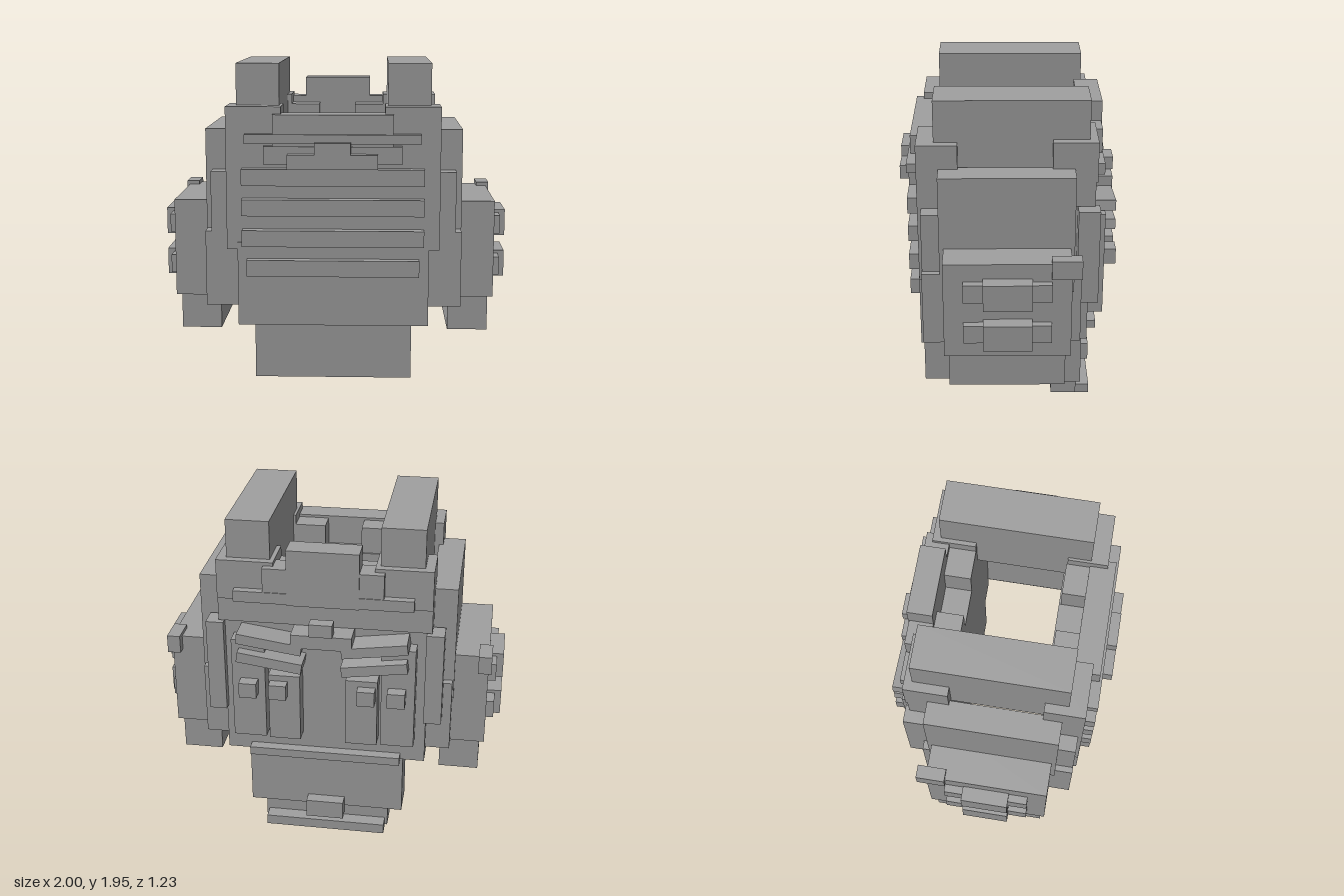
import * as THREE from 'three';

export function createModel() {
  const model = new THREE.Group();
  model.name = 'armourVest';
  const grey = new THREE.MeshStandardMaterial({ color: 0xa0a0a0 });
  grey.name = 'grey';

  // box from its limits on each axis
  function box(name, x0, x1, y0, y1, z0, z1) {
    const mesh = new THREE.Mesh(new THREE.BoxGeometry(x1 - x0, y1 - y0, z1 - z0), grey);
    mesh.position.set((x0 + x1) / 2, (y0 + y1) / 2, (z0 + z1) / 2);
    mesh.name = name;
    model.add(mesh);
    return mesh;
  }
  // box centred on x = 0
  const mid = (name, w, ...r) => box(name, -w, w, ...r);
  // mirrored left and right boxes
  function pair(name, x0, x1, ...r) {
    return [box(name + 'Left', x0, x1, ...r), box(name + 'Right', -x1, -x0, ...r)];
  }

  // front plates
  mid('chestPlate', 0.6, 0.91, 1.5, 0.26, 0.5);
  mid('bellyPlate', 0.54, 0.47, 0.95, 0.27, 0.505);
  mid('frontSkirt', 0.445, 0.16, 0.47, 0.29, 0.495);
  pair('frontShoulderBlock', 0.29, 0.6, 1.5, 1.715, 0.275, 0.5);
  pair('frontCollarStep', 0.11, 0.29, 1.5, 1.66, 0.27, 0.4);
  mid('collarSlab', 0.335, 1.5, 1.675, 0.4, 0.545);
  mid('collarBar', 0.49, 1.515, 1.567, 0.48, 0.56);
  mid('badgeBacking', 0.385, 1.4, 1.5, 0.48, 0.555);
  mid('badgeBase', 0.25, 1.38, 1.46, 0.5, 0.615);
  mid('badgeTop', 0.1, 1.46, 1.525, 0.5, 0.615);
  [[1.28, 0.51], [1.11, 0.51], [0.935, 0.51], [0.765, 0.485]].forEach(([y, w], i) =>
    mid('chestStrap' + (i + 1), w, y, y + 0.093, 0.48, 0.56));

  // straps over the shoulders
  pair('shoulderStrap', 0.305, 0.548, 1.5, 1.95, -0.44, 0.405);

  // back plates
  mid('backPlate', 0.58, 0.515, 1.36, -0.45, -0.24);
  mid('upperBackPlate', 0.6, 1.36, 1.5, -0.475, -0.24);
  mid('backSkirt', 0.455, 0.14, 0.7, -0.43, -0.24);
  mid('tailPlate', 0.37, 0.01, 0.14, -0.41, -0.26);
  mid('tailBar', 0.355, 0, 0.06, -0.49, -0.405);
  mid('tailBlock', 0.11, 0.09, 0.2, -0.5, -0.42);
  mid('waistBar', 0.44, 0.505, 0.555, -0.51, -0.44);
  pair('backShoulderBlock', 0.28, 0.6, 1.5, 1.73, -0.485, -0.24);
  pair('backCollarStep', 0.11, 0.3, 1.5, 1.67, -0.39, -0.24);
  mid('neckGuard', 0.2, 1.5, 1.825, -0.53, -0.39);
  mid('neckGuardBase', 0.335, 1.57, 1.71, -0.525, -0.39);
  mid('upperBackBar', 0.5, 1.505, 1.57, -0.53, -0.45);

  // pouches and buckles on the back
  pair('outerPouch', 0.33, 0.52, 0.66, 1.275, -0.54, -0.44);
  pair('innerPouch', 0.13, 0.31, 0.66, 1.07, -0.55, -0.44);
  pair('innerKnob', 0.2, 0.3, 0.945, 1.035, -0.61, -0.54);
  pair('outerKnob', 0.37, 0.47, 0.945, 1.035, -0.61, -0.53);
  mid('backBuckleBase', 0.17, 1.28, 1.36, -0.605, -0.44);
  mid('backBuckleTop', 0.065, 1.36, 1.435, -0.615, -0.545);

  // slanted bars, higher at the outer ends
  [1.285, 1.17].forEach((y, i) => {
    const [l, r] = pair('slantedStrap' + (i + 1), 0.11, 0.48, y - 0.03, y + 0.03, -0.6, -0.45);
    l.rotation.z = 0.14;
    r.rotation.z = -0.14;
  });

  // sides
  pair('sidePanel', 0.575, 0.728, 0.9, 1.58, -0.36, 0.38);
  pair('sidePod', 0.575, 0.918, 0.608, 1.168, -0.338, 0.355);
  pair('sidePodBase', 0.66, 0.89, 0.405, 0.608, -0.31, 0.33);
  pair('sidePodBlock', 0.86, 0.935, 1.085, 1.19, -0.39, -0.228);
  pair('frontSideStrip', 0.59, 0.69, 0.91, 1.35, 0.34, 0.478);
  pair('frontSideFlap', 0.53, 0.724, 0.58, 1.01, 0.3, 0.48);
  pair('backSideStrip', 0.57, 0.67, 0.8, 1.355, -0.5, -0.38);
  pair('backSideFlap', 0.53, 0.72, 0.585, 1.015, -0.402, -0.28);
  [0.685, 0.93].forEach((y, i) => {
    pair('sideBuckle' + (i + 1), 0.91, 1, y, y + 0.153, -0.125, 0.14);
    pair('sideBuckleStrap' + (i + 1), 0.91, 0.962, y + 0.03, y + 0.135, -0.23, 0.248);
  });

  return model;
}
